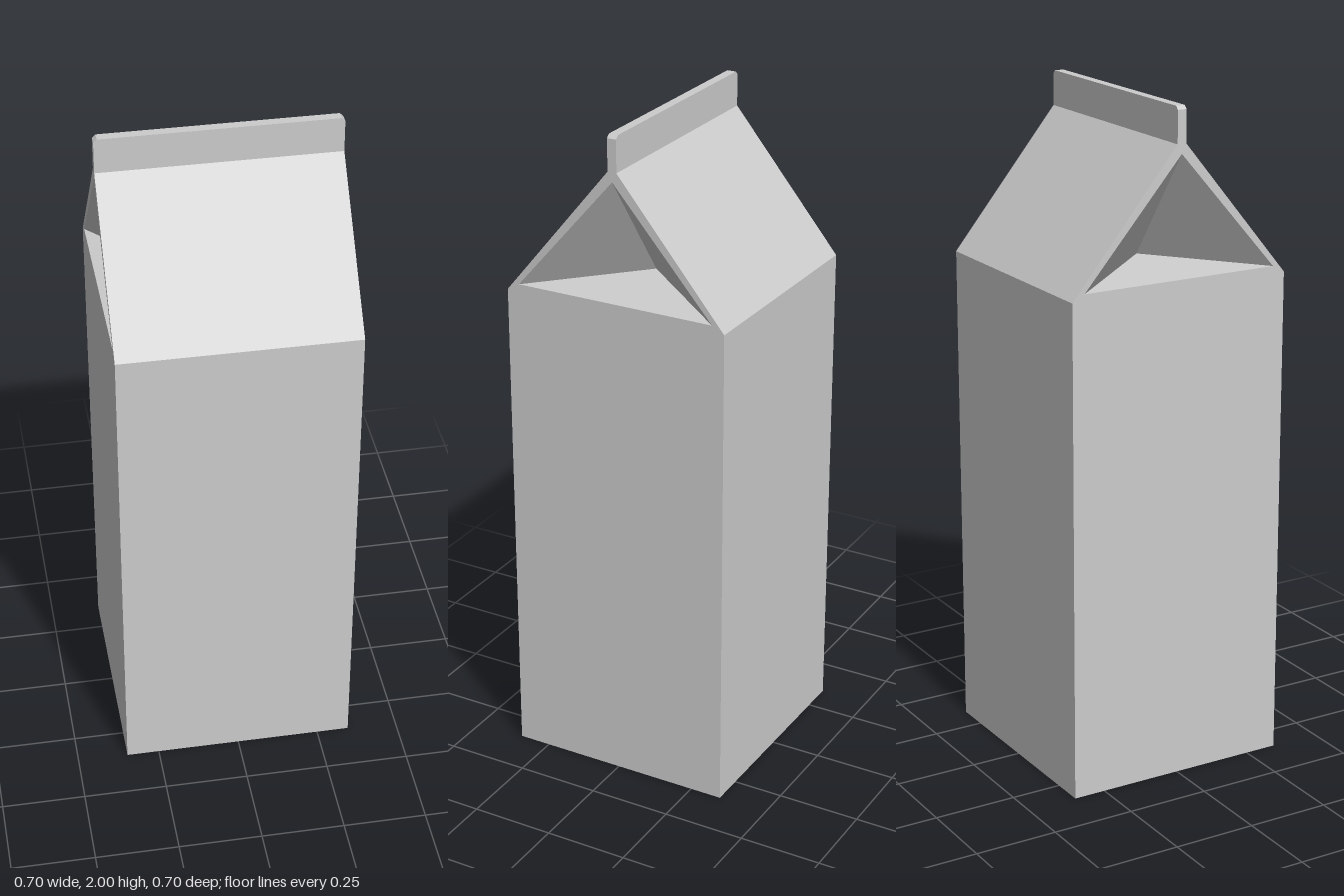
import * as THREE from 'three';

const W = 0.348;        // half width of the square body
const SHOULDER = 1.49;  // top of the straight walls
const EAVE = 1.895;     // where the roof panels meet the ridge
const RIDGE = 0.014;    // half thickness of the ridge

// Flat-shaded geometry from convex polygons, each a list of [x, y, z] corners
function polygons(list) {
  const pos = [];
  for (const p of list) {
    for (let i = 1; i < p.length - 1; i++) pos.push(...p[0], ...p[i], ...p[i + 1]);
  }
  const geo = new THREE.BufferGeometry();
  geo.setAttribute('position', new THREE.Float32BufferAttribute(pos, 3));
  geo.computeVertexNormals();
  return geo;
}

export function createModel() {
  const card = new THREE.MeshStandardMaterial({ color: 0xcccccc });
  card.name = 'plain card';
  const carton = new THREE.Group();
  carton.name = 'carton';
  const add = (name, geo, parent = carton) => {
    const mesh = new THREE.Mesh(geo, card);
    mesh.name = name;
    parent.add(mesh);
  };

  // Base, front, back and roof panels swept across x from the (z, y) profile
  const profile = [[-W, 0], [W, 0], [W, SHOULDER], [RIDGE, EAVE], [-RIDGE, EAVE], [-W, SHOULDER]];
  const names = ['base', 'frontWall', 'frontRoof', 'ridgeSeam', 'backRoof', 'backWall'];
  profile.forEach(([z0, y0], i) => {
    const [z1, y1] = profile[(i + 1) % profile.length];
    add(names[i], polygons([[[-W, y0, z0], [W, y0, z0], [W, y1, z1], [-W, y1, z1]]]));
  });

  // Gable ends: side wall with a triangular opening and the folded-in gusset
  const left = [-0.31, 1.511, W], right = [0.31, 1.511, W];
  const apex = [0, 1.867, W], inner = [0, 1.536, W - 0.24];
  const wall = new THREE.Shape(profile.map(([z, y]) => new THREE.Vector2(z, y)));
  wall.holes.push(new THREE.Path([left, apex, right].map(([x, y]) => new THREE.Vector2(x, y))));
  for (const side of [1, -1]) {
    const end = new THREE.Group();
    end.name = side > 0 ? 'leftEnd' : 'rightEnd';
    end.rotation.y = side * Math.PI / 2;
    add('sideWall', new THREE.ShapeGeometry(wall).translate(0, 0, W), end);
    add('gusset', polygons([[left, right, inner], [right, apex, inner], [apex, left, inner]]), end);
    carton.add(end);
  }

  // Sealed ridge with clipped top corners
  const c = 0.01;
  const fin = new THREE.Shape([
    [-W, EAVE], [W, EAVE], [W, 2 - c], [W - c, 2], [-W + c, 2], [-W, 2 - c],
  ].map(([x, y]) => new THREE.Vector2(x, y)));
  add('ridge', new THREE.ExtrudeGeometry(fin, { depth: 2 * RIDGE, bevelEnabled: false })
    .translate(0, 0, -RIDGE));

  return carton;
}
